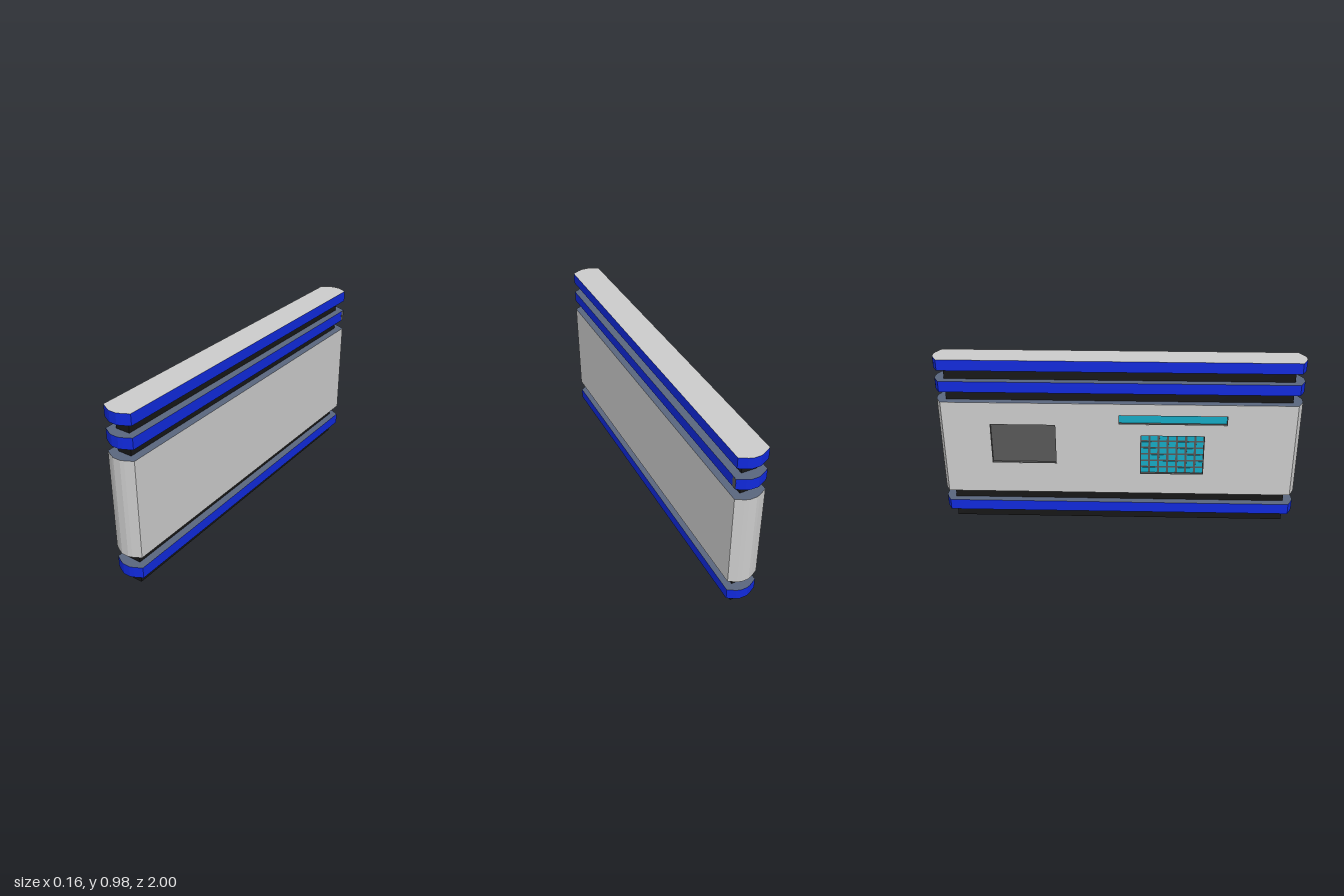
import * as THREE from 'three';

const mat = (color) => new THREE.MeshStandardMaterial({ color });
const grey = mat(0xcccccc), blue = mat(0x1029dc), black = mat(0x161616);
const slate = mat(0x5a667e), dark = mat(0x585858), teal = mat(0x14aac4);

const W = 0.082, FACE = 0.066; // half width, and floor of the recesses
// one rounded end, from the -x side to the +x side
const END = [[-W, 0.968], [-0.066, 0.977], [-0.04, 0.991], [-0.02, 0.999], [0.02, 0.999],
  [0.04, 0.991], [0.066, 0.977], [W, 0.968]];

// plan outline, cut off at x = minX
function outline(minX = -W) {
  const end = END.filter(([x]) => x >= minX);
  const pts = [...end.map(([x, z]) => [x, -z]), ...end.slice().reverse()];
  return new THREE.Shape(pts.map(([x, z]) => new THREE.Vector2(x, z)));
}

function add(parent, name, geometry, material) {
  const mesh = new THREE.Mesh(geometry, material);
  mesh.name = name;
  parent.add(mesh);
  return mesh;
}

function slab(parent, name, y0, y1, minX, materials) {
  const g = new THREE.ExtrudeGeometry(outline(minX), { depth: y1 - y0, bevelEnabled: false });
  g.rotateX(-Math.PI / 2).translate(0, y0, 0);
  return add(parent, name, g, materials);
}

// thin coloured sheet over the end of a slab
function sheet(parent, name, y, up, material) {
  const g = new THREE.ShapeGeometry(outline());
  g.rotateX(up ? -Math.PI / 2 : Math.PI / 2).translate(0, y, 0);
  return add(parent, name, g, material);
}

function rectPoints(z0, z1, y0, y1) {
  return [[z0, y0], [z1, y0], [z1, y1], [z0, y1]].map(([z, y]) => new THREE.Vector2(z, y));
}

function box(parent, name, x0, x1, y0, y1, z0, z1, material) {
  const g = new THREE.BoxGeometry(x1 - x0, y1 - y0, z1 - z0);
  g.translate((x0 + x1) / 2, (y0 + y1) / 2, (z0 + z1) / 2);
  return add(parent, name, g, material);
}

export function createModel() {
  const model = new THREE.Group();
  model.name = 'panelStack';

  // narrow core running through all the layers
  box(model, 'core', -0.04, 0.04, 0, 0.95, -0.943, 0.943, black);

  // blue bands
  [['lowerBand', 0.063, 0.125], ['middleBand', 0.8, 0.861], ['topBand', 0.923, 0.984]]
    .forEach(([name, y0, y1]) => slab(model, name, y0, y1, -W, [slate, blue]));
  sheet(model, 'topCover', 0.9845, true, grey);

  // small tab on the middle band
  box(model, 'bandTab', W - 0.01, W + 0.001, 0.801, 0.86, -0.967, -0.942, dark);

  // main panel: body, plus a faceplate with three openings on the -x side
  const panel = new THREE.Group();
  panel.name = 'mainPanel';
  model.add(panel);
  const y0 = 0.188, y1 = 0.74;
  slab(panel, 'panelBody', y0, y1, -FACE, [slate, grey]);

  const openings = {
    window: [-0.707, -0.346, 0.373, 0.612],
    slot: [0, 0.594, 0.62, 0.675],
    keypad: [0.12, 0.474, 0.313, 0.554],
  };
  const plate = new THREE.Shape(rectPoints(-0.968, 0.968, y0, y1));
  Object.values(openings).forEach((r) => plate.holes.push(new THREE.Path(rectPoints(...r).reverse())));
  const plateGeo = new THREE.ExtrudeGeometry(plate, { depth: W - FACE, bevelEnabled: false });
  // flare the inner edge so the ends follow the rounded outline
  const p = plateGeo.attributes.position;
  for (let i = 0; i < p.count; i++) {
    if (p.getZ(i) < 0.001 && Math.abs(p.getX(i)) > 0.96) p.setX(i, Math.sign(p.getX(i)) * 0.977);
  }
  plateGeo.rotateY(-Math.PI / 2).translate(-FACE, 0, 0);
  plateGeo.computeVertexNormals();
  add(panel, 'faceplate', plateGeo, grey);
  sheet(panel, 'panelTop', y1 + 0.0005, true, slate);
  sheet(panel, 'panelUnderside', y0 - 0.0005, false, slate);

  // floors and dark linings of the openings
  Object.entries(openings).forEach(([name, [z0, z1, b, t]]) => {
    const e = 0.003, out = -W + 0.0005;
    box(panel, name + 'Back', -FACE - 0.001, -FACE + 0.004, b, t, z0, z1, name === 'slot' ? teal : dark);
    box(panel, name + 'Sill', out, -FACE, b, b + e, z0, z1, dark);
    box(panel, name + 'Lintel', out, -FACE, t - e, t, z0, z1, dark);
    box(panel, name + 'JambBack', out, -FACE, b, t, z0, z0 + e, dark);
    box(panel, name + 'JambFront', out, -FACE, b, t, z1 - e, z1, dark);
  });

  // grid of keys
  const [kz0, kz1, ky0, ky1] = openings.keypad;
  const cols = 7, rows = 6, dz = (kz1 - kz0) / cols, dy = (ky1 - ky0) / rows;
  for (let i = 0; i < cols; i++) {
    for (let j = 0; j < rows; j++) {
      const z = kz0 + dz * i, y = ky0 + dy * j;
      box(panel, 'key', -FACE - 0.003, -FACE, y + 0.005, y + dy - 0.005, z + 0.006, z + dz - 0.006, teal);
    }
  }
  return model;
}
